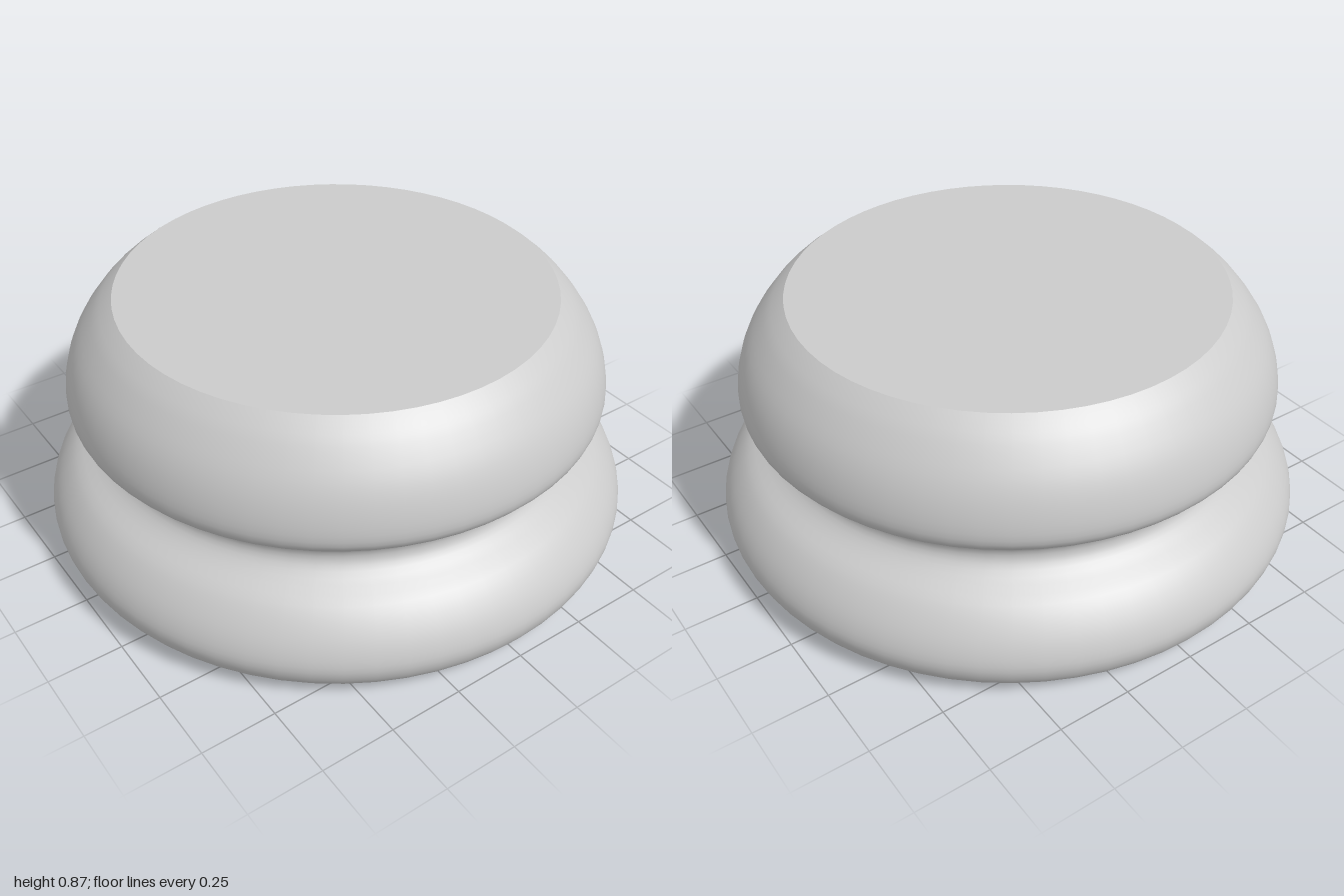
import * as THREE from 'three';

const SEGMENTS = 64;
const HEIGHT = 0.865;

// Outer wall from base rim to top rim: radius, height
const WALL = [
  [0.9, 0], [0.95, 0.025], [0.985, 0.065], [1.0, 0.12], [0.985, 0.18],
  [0.95, 0.24], [0.9, 0.295], [0.83, 0.34], [0.795, 0.38], [0.8, 0.425],
  [0.85, 0.47], [0.895, 0.515], [0.903, 0.57], [0.885, 0.65],
  [0.85, 0.725], [0.795, 0.8], [0.755, 0.84], [0.725, HEIGHT],
];

export function createModel() {
  const group = new THREE.Group();
  const material = new THREE.MeshStandardMaterial({ color: 0xcccccc });

  const add = (name, geometry) => {
    const mesh = new THREE.Mesh(geometry, material);
    mesh.name = name;
    group.add(mesh);
    return mesh;
  };

  // Two stacked rounded bulges joined by a narrow waist
  const curve = new THREE.SplineCurve(WALL.map(([r, y]) => new THREE.Vector2(r, y)));
  add('doubleBulgeWall', new THREE.LatheGeometry(curve.getPoints(51), SEGMENTS));

  // Flat discs closing both ends, kept separate for crisp rims
  const cap = (name, radius, y, turn) => {
    const disc = add(name, new THREE.CircleGeometry(radius, SEGMENTS));
    disc.rotation.x = turn;
    disc.position.y = y;
  };
  cap('topFace', 0.725, HEIGHT, -Math.PI / 2);
  cap('baseFace', 0.9, 0, Math.PI / 2);

  return group;
}
